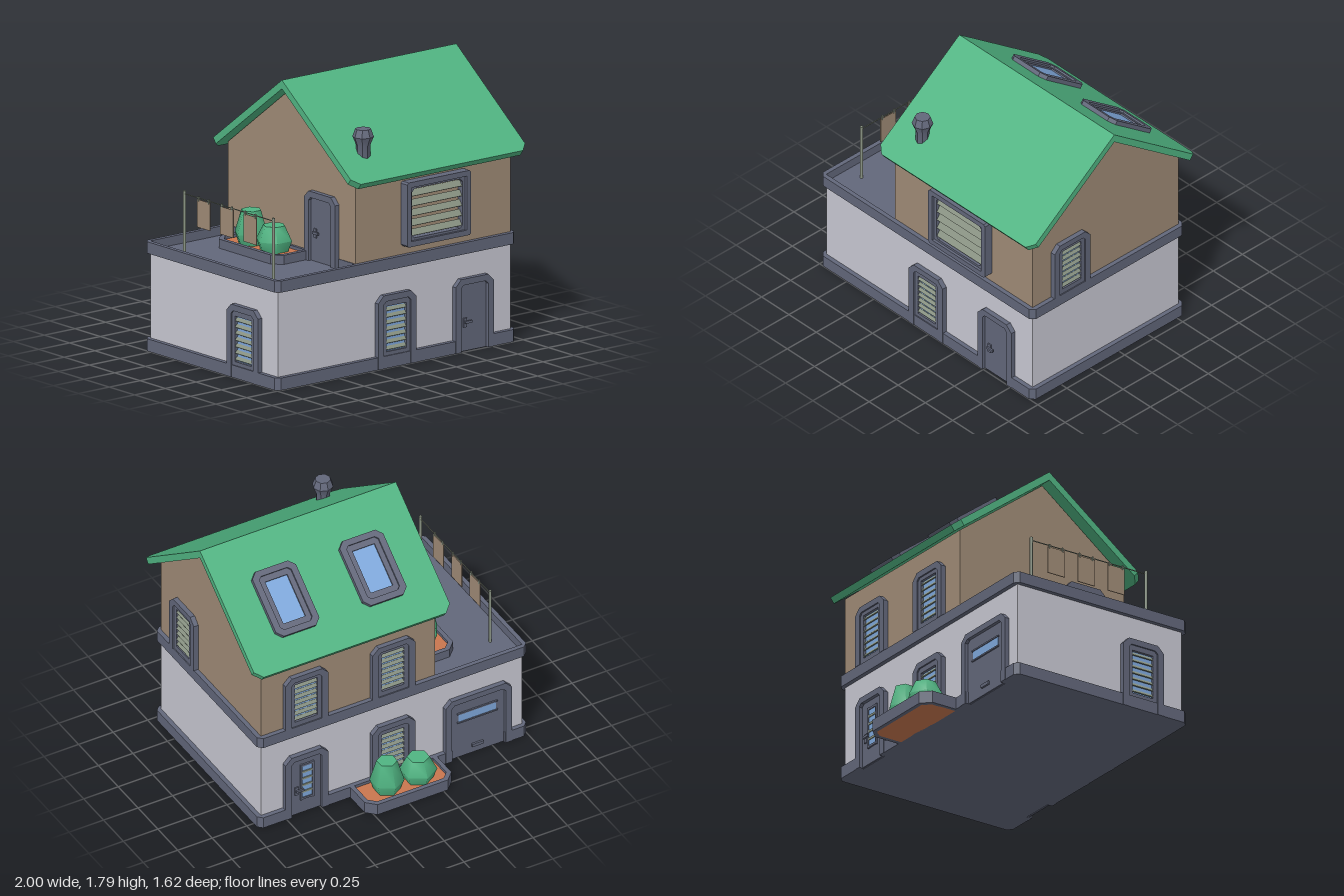
import * as THREE from 'three';
import { toCreasedNormals } from 'three/addons/utils/BufferGeometryUtils.js';

const mat = (name, color, side = THREE.FrontSide) => {
  const m = new THREE.MeshStandardMaterial({ color, side });
  m.name = name;
  return m;
};

export function createModel() {
  const trim = mat('slate trim', 0x62677a);
  const plaster = mat('pale plaster', 0xc8c8d2);
  const tan = mat('tan wall', 0x9f8b76);
  const green = mat('green', 0x50b482);
  const glass = mat('blue glass', 0x7fa8dc);
  const slat = mat('grey green slats', 0x8a9484);
  const soil = mat('terracotta soil', 0xc8764f);
  const house = new THREE.Group();
  house.name = 'house';

  const add = (parent, name, geo, material, x = 0, y = 0, z = 0) => {
    const mesh = new THREE.Mesh(geo, material);
    mesh.name = name;
    mesh.position.set(x, y, z);
    parent.add(mesh);
    return mesh;
  };
  const group = (parent, name, x, y, z, ry = 0) => {
    const g = new THREE.Group();
    g.name = name;
    g.position.set(x, y, z);
    g.rotation.y = ry;
    parent.add(g);
    return g;
  };
  const box = (parent, name, w, h, d, material, x, y, z) =>
    add(parent, name, new THREE.BoxGeometry(w, h, d), material, x, y, z);
  const poly = (pts) => new THREE.Shape(pts.map(([x, y]) => new THREE.Vector2(x, y)));
  // Rectangle standing on the origin, with cut top (and bottom) corners
  const panel = (w, h, top = 0, bottom = 0, y = 0) => {
    const a = w / 2;
    const pts = [];
    if (bottom) pts.push([-a, y + bottom], [-a + bottom, y], [a - bottom, y], [a, y + bottom]);
    else pts.push([-a, y], [a, y]);
    if (top) pts.push([a, y + h - top], [a - top, y + h], [-a + top, y + h], [-a, y + h - top]);
    else pts.push([a, y + h], [-a, y + h]);
    return poly(pts);
  };
  const holed = (shape, ...holes) => { shape.holes.push(...holes); return shape; };
  const extrude = (shape, depth) => new THREE.ExtrudeGeometry(shape, { depth, bevelEnabled: false });
  // Extrudes a plan upward; the plan's y axis points to the back
  const slab = (shape, h) => extrude(shape, h).rotateX(-Math.PI / 2);

  // Ground floor, with the plinth notched at the doors
  box(house, 'groundFloorWalls', 1.89, 0.63, 1.26, plaster, -0.025, 0.325, 0.09);
  add(house, 'plinth', slab(poly([
    [-0.97, -0.75], [0.49, -0.75], [0.49, -0.715], [0.72, -0.715], [0.72, -0.75], [0.92, -0.75],
    [0.95, -0.72], [0.95, 0.54], [0.92, 0.57], [0.72, 0.57], [0.72, 0.535], [0.49, 0.535],
    [0.49, 0.57], [-0.45, 0.57], [-0.45, 0.535], [-0.83, 0.535], [-0.83, 0.57],
    [-0.97, 0.57], [-1, 0.54], [-1, -0.72]]), 0.08), trim);

  // Floor band that doubles as the terrace parapet
  const band = panel(1.95, 1.32, 0.03, 0.03, -0.75);
  holed(band, poly([[-0.945, -0.72], [-0.32, -0.72], [-0.32, 0.54], [-0.945, 0.54]]));
  add(house, 'floorBand', slab(band, 0.075), trim, -0.025, 0.635);
  box(house, 'terraceFloor', 0.63, 0.012, 1.26, trim, -0.655, 0.645, 0.09);

  // Upper floor with gable ends
  const gable = poly([[-0.63, 0.66], [0.63, 0.66], [0.63, 1.25], [0, 1.725], [-0.63, 1.25]]);
  add(house, 'upperFloorWalls', extrude(gable, 1.26).rotateY(Math.PI / 2), tan, -0.34, 0, 0.09);

  // Two roof slopes meeting at the ridge
  const tilt = Math.atan2(0.8, 0.6);
  const slopes = [0, Math.PI].map((turn, i) => {
    const s = group(house, i ? 'backRoof' : 'frontRoof', 0.29, 1.79, 0.09);
    s.rotation.set(-tilt, turn, 0, 'YXZ');
    add(s, 'roofSlab', extrude(panel(1.42, 0.9, 0, 0.05, -0.9), 0.045), green, 0, 0, -0.045);
    return s;
  });

  // Roof windows
  for (const x of [-0.0275, 0.605]) {
    const w = group(slopes[1], 'roofWindow', 0.29 - x, -0.7, 0);
    add(w, 'roofWindowFrame', extrude(holed(panel(0.315, 0.45, 0.04, 0.04),
      panel(0.23, 0.37, 0.02, 0.02, 0.04)), 0.028), trim);
    add(w, 'roofWindowInnerFrame', extrude(holed(panel(0.24, 0.38, 0, 0, 0.035),
      panel(0.16, 0.29, 0, 0, 0.08)), 0.016), trim);
    box(w, 'roofWindowGlass', 0.17, 0.3, 0.006, glass, 0, 0.225, 0.003);
  }

  // Frame open at the bottom, around a door or window
  const surround = (g, w, h) => {
    const a = w / 2, b = a - 0.045, t = h - 0.04;
    add(g, 'surround', extrude(poly([
      [-a, 0], [-b, 0], [-b, t - 0.02], [-b + 0.02, t], [b - 0.02, t], [b, t - 0.02], [b, 0],
      [a, 0], [a, h - 0.045], [a - 0.045, h], [-a + 0.045, h], [-a, h - 0.045]]), 0.033), trim);
  };
  const louvres = (g, w, y0, y1, n, z, depth) => {
    const pitch = (y1 - y0) / n;
    for (let i = 0; i < n; i++)
      box(g, 'louvre', w, depth, 0.007, slat, 0, y0 + (i + 0.5) * pitch, z).rotation.x = -0.6;
  };

  // Louvred windows; sill is the height of the opening above the frame's foot
  const addWindow = (x, y, z, turn, h, sill) => {
    const g = group(house, 'louvredWindow', x, y, z, turn);
    surround(g, 0.31, h);
    add(g, 'innerFrame', extrude(holed(panel(0.225, h - 0.038), panel(0.16, 0.295, 0, 0, sill)), 0.023), trim);
    box(g, 'windowGlass', 0.17, 0.3, 0.004, glass, 0, sill + 0.147, 0.002);
    louvres(g, 0.16, sill, sill + 0.295, 7, 0.013, 0.024);
  };
  const BACK = Math.PI, PLUS = Math.PI / 2, MINUS = -Math.PI / 2;
  addWindow(-0.025, 0, 0.72, 0, 0.475, 0.105);
  addWindow(-0.025, 0, -0.54, BACK, 0.475, 0.105);
  addWindow(-0.97, 0, 0.405, MINUS, 0.475, 0.105);
  addWindow(0.92, 0.71, 0.405, PLUS, 0.395, 0.035);
  for (const x of [-0.025, 0.605]) addWindow(x, 0.71, -0.54, BACK, 0.395, 0.035);

  // Doors
  const addDoor = (x, y, z, turn, glazed) => {
    const g = group(house, 'door', x, y, z, turn);
    const h = y ? 0.455 : 0.475;
    surround(g, 0.31, h);
    add(g, 'doorLeaf', extrude(panel(0.225, h - 0.038), 0.01), trim);
    box(g, 'handlePlate', 0.026, 0.06, 0.01, trim, -0.065, 0.185, 0.014);
    box(g, 'handleLever', 0.055, 0.016, 0.012, trim, -0.047, 0.19, 0.027);
    if (glazed) {
      box(g, 'doorGlass', 0.08, 0.27, 0.006, glass, 0.01, 0.245, 0.012);
      for (let i = 0; i < 6; i++)
        box(g, 'doorGlassBar', 0.085, 0.014, 0.012, i % 5 ? slat : trim, 0.01, 0.115 + i * 0.052, 0.015);
      for (const s of [-1, 1]) box(g, 'doorGlassEdge', 0.012, 0.28, 0.014, trim, 0.01 + s * 0.043, 0.245, 0.015);
    }
  };
  addDoor(0.605, 0, 0.72, 0, false);
  addDoor(0.605, 0, -0.54, BACK, true);
  addDoor(-0.34, 0.65, 0.405, MINUS, false);

  // Garage door
  const garage = group(house, 'garageDoor', -0.64, 0, -0.54, BACK);
  surround(garage, 0.48, 0.475);
  add(garage, 'garageLeaf', extrude(panel(0.4, 0.437), 0.01), trim);
  box(garage, 'garageGlass', 0.27, 0.06, 0.006, glass, 0, 0.31, 0.011);
  for (const s of [-1, 1]) box(garage, 'garageGlassRim', 0.29, 0.01, 0.012, trim, 0, 0.31 + s * 0.034, 0.014);
  box(garage, 'garageHandle', 0.08, 0.022, 0.014, trim, 0, 0.06, 0.016);

  // Wide front window
  const wide = group(house, 'wideWindow', 0.29, 0.765, 0.72);
  add(wide, 'wideOuterFrame', extrude(holed(panel(0.52, 0.42, 0.012, 0.012),
    panel(0.45, 0.35, 0, 0, 0.035)), 0.063), trim);
  add(wide, 'wideInnerFrame', extrude(holed(panel(0.46, 0.36, 0, 0, 0.03),
    panel(0.41, 0.32, 0.02, 0.02, 0.05)), 0.045), trim);
  louvres(wide, 0.42, 0.05, 0.37, 5, 0.024, 0.045);

  // Planters with two bushes each
  const addPlanter = (x, y, z, turn) => {
    const g = group(house, 'planter', x, y, z, turn);
    add(g, 'planterRim', slab(holed(panel(0.63, 0.27, 0.06), panel(0.57, 0.22, 0.045, 0, 0.02)), 0.08), trim);
    add(g, 'planterSoil', slab(panel(0.58, 0.225, 0.045, 0, 0.018), 0.06), soil);
    for (const [bx, r, h] of [[0.107, 0.11, 0.22], [-0.12, 0.12, 0.165]]) {
      const profile = [[0, 0], [r * 0.78, 0], [r, 0.07], [r * 0.6, h], [0, h]];
      const geo = new THREE.LatheGeometry(profile.map(([a, b]) => new THREE.Vector2(a, b)), 6);
      add(g, 'bush', toCreasedNormals(geo, 1.15), green, bx, 0.06, -0.13);
    }
  };
  addPlanter(-0.025, 0, -0.54, 0);
  addPlanter(-0.34, 0.63, -0.045, PLUS);

  // Chimney pipe
  const pipe = [[0.045, 1.3], [0.045, 1.44], [0.068, 1.495], [0.05, 1.545], [0, 1.545]];
  add(house, 'chimney', toCreasedNormals(new THREE.LatheGeometry(
    pipe.map(([a, b]) => new THREE.Vector2(a, b)), 8), 0.5), trim, -0.195, 0, 0.62);

  // Clothes line on the terrace
  const line = group(house, 'clothesLine', -0.85, 0, 0);
  for (const z of [-0.35, 0.53])
    add(line, 'linePost', new THREE.CylinderGeometry(0.01, 0.01, 0.41, 8), slat, 0, 0.85, z);
  box(line, 'rope', 0.005, 0.005, 0.88, slat, 0, 1.035, 0.09);
  for (const z of [-0.16, 0.07, 0.3]) {
    box(line, 'cloth', 0.006, 0.18, 0.13, tan, 0, 0.935, z);
    for (const s of [-1, 1]) box(line, 'clothesPeg', 0.01, 0.03, 0.01, slat, 0, 1.03, z + s * 0.05);
  }
  return house;
}
